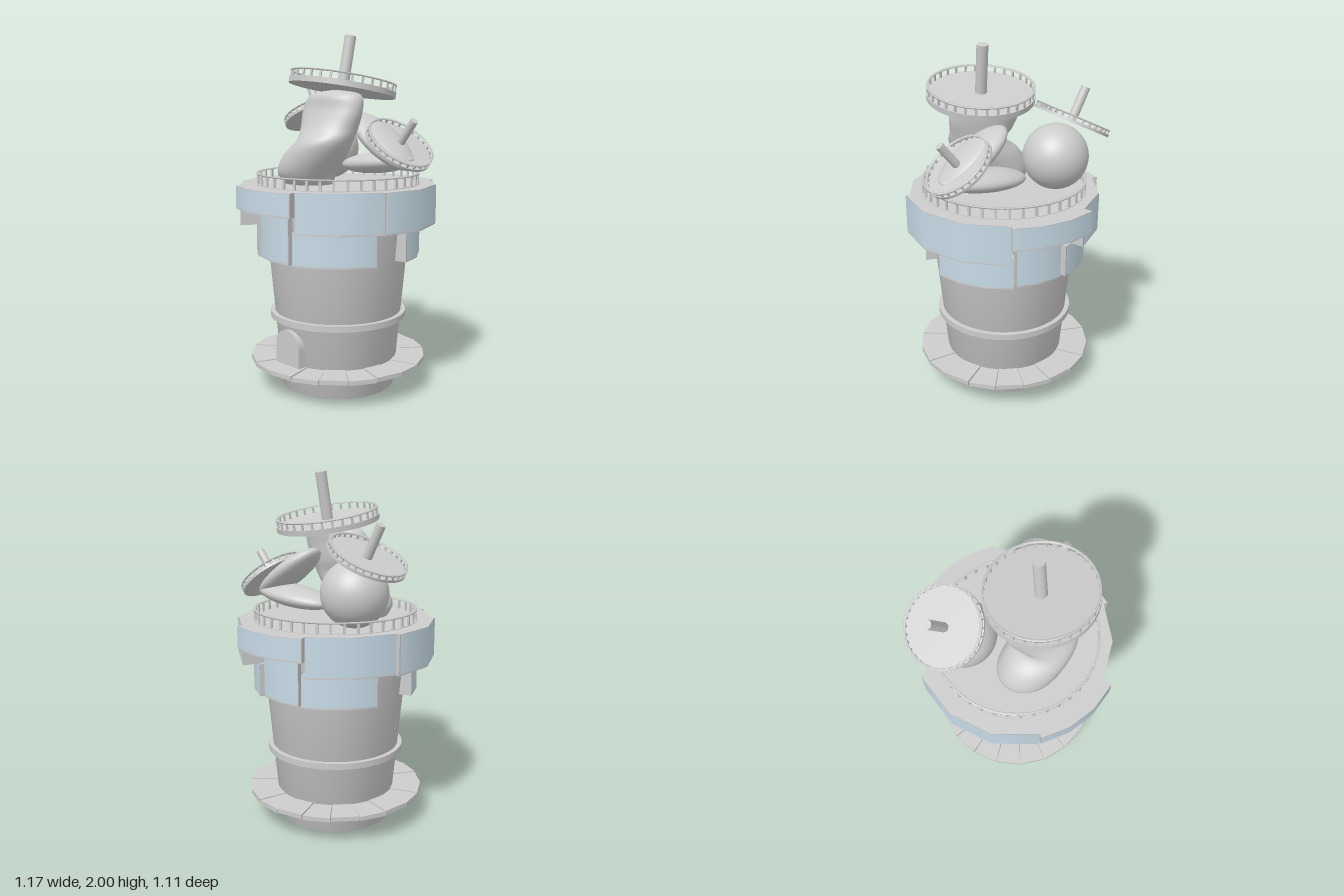
import * as THREE from 'three';

const D = Math.PI / 180;
const grey = new THREE.MeshStandardMaterial({ color: 0xcccccc });
grey.name = 'pale grey';
const glass = new THREE.MeshStandardMaterial({ color: 0xc8dce8 });
glass.name = 'pale blue glass';

function add(parent, name, geo, mat = grey) {
  const mesh = new THREE.Mesh(geo, mat);
  mesh.name = name;
  parent.add(mesh);
  return mesh;
}

// Solid block between two radii, swept from angle a to b (degrees, 0 = +z, 90 = +x)
function arcBlock(r0, r1, y0, y1, a, b, segs) {
  const shape = new THREE.Shape();
  const put = (r, i, first) => {
    const t = (a + ((b - a) * i) / segs) * D;
    shape[first ? 'moveTo' : 'lineTo'](r * Math.sin(t), -r * Math.cos(t));
  };
  for (let i = 0; i <= segs; i++) put(r1, i, i === 0);
  for (let i = segs; i >= 0; i--) put(r0, i, false);
  const geo = new THREE.ExtrudeGeometry(shape, { depth: y1 - y0, bevelEnabled: false });
  return geo.rotateX(-Math.PI / 2).translate(0, y0, 0);
}

// Balcony block with a thin glazed outer face
function balcony(parent, name, r, y0, y1, a, b, segs) {
  const g = new THREE.Group();
  g.name = name;
  add(g, 'balconyBlock', arcBlock(0.39, r, y0, y1, a, b, segs));
  const h = y1 - y0 - 0.012;
  const pane = new THREE.CylinderGeometry(r + 0.003, r + 0.003, h, segs, 1, true, (a + 0.5) * D, (b - a - 1) * D);
  add(g, 'balconyGlass', pane.translate(0, (y0 + y1) / 2 + 0.004, 0), glass);
  parent.add(g);
}

// Circular railing: posts and a thin flat top rail
function railing(parent, r, y0, h, count, post) {
  const g = new THREE.Group();
  g.name = 'railing';
  for (let i = 0; i < count; i++) {
    const t = (i / count) * Math.PI * 2;
    const m = add(g, 'railPost', new THREE.BoxGeometry(post, h, post * 0.7));
    m.position.set(r * Math.sin(t), y0 + h / 2, r * Math.cos(t));
    m.rotation.y = t;
  }
  const w = post * 0.5, top = y0 + h;
  const profile = [[r - w, top - 0.008], [r + w, top - 0.008], [r + w, top], [r - w, top], [r - w, top - 0.008]];
  add(g, 'topRail', new THREE.LatheGeometry(profile.map((p) => new THREE.Vector2(...p)), 48));
  parent.add(g);
}

// Tilted roof terrace with a railing and a mast
function terrace(parent, name, pos, normal, r, thick, railH, posts, mastR, mastL) {
  const g = new THREE.Group();
  g.name = name;
  g.position.set(...pos);
  g.quaternion.setFromUnitVectors(new THREE.Vector3(0, 1, 0), new THREE.Vector3(...normal).normalize());
  add(g, 'terraceDisc', new THREE.CylinderGeometry(r, r, thick, 48));
  railing(g, r - 0.008, thick / 2, railH, posts, 0.012);
  add(g, 'mast', new THREE.CylinderGeometry(mastR, mastR, mastL, 20).translate(0, mastL / 2, 0));
  parent.add(g);
}

// Smooth pod lofted through horizontal ellipses [y, x, z, rx, rz]
function loftPod(rings) {
  const n = 32, steps = 28, pos = [], idx = [];
  const at = (t, k) => {
    const f = t * (rings.length - 1), i = Math.min(Math.floor(f), rings.length - 2), u = f - i;
    const p = [i - 1, i, i + 1, i + 2].map((j) => rings[Math.max(0, Math.min(rings.length - 1, j))][k]);
    return p[1] + 0.5 * u * (p[2] - p[0] + u * (2 * p[0] - 5 * p[1] + 4 * p[2] - p[3] + u * (3 * (p[1] - p[2]) + p[3] - p[0])));
  };
  for (let s = 0; s <= steps; s++) {
    const [y, x, z, rx, rz] = [0, 1, 2, 3, 4].map((k) => at(s / steps, k));
    for (let i = 0; i < n; i++) {
      const t = (i / n) * Math.PI * 2;
      pos.push(x + rx * Math.sin(t), y, z + rz * Math.cos(t));
      if (s < steps) {
        const a = s * n + i, b = s * n + ((i + 1) % n);
        idx.push(a, b, b + n, a, b + n, a + n);
      }
    }
  }
  const geo = new THREE.BufferGeometry();
  geo.setAttribute('position', new THREE.Float32BufferAttribute(pos, 3));
  geo.setIndex(idx);
  geo.computeVertexNormals();
  return geo;
}

export function createModel() {
  const model = new THREE.Group();
  model.name = 'tower';

  // Tapered shaft with closed base
  const shaft = [[0, 0], [0.328, 0], [0.435, 1.17]].map((p) => new THREE.Vector2(...p));
  add(model, 'shaft', new THREE.LatheGeometry(shaft, 64));

  // Plain band round the shaft
  add(model, 'shaftBand', new THREE.CylinderGeometry(0.395, 0.395, 0.035, 64).translate(0, 0.422, 0));

  // Skirt of paving wedges
  const skirt = new THREE.Group();
  skirt.name = 'skirt';
  for (let i = 0; i < 20; i++) {
    const lift = (i % 2) * 0.004;
    add(skirt, 'skirtWedge', arcBlock(0.325, 0.51, 0.147 + lift, 0.172 + lift, i * 18 + 0.3, i * 18 + 17.7, 1));
  }
  model.add(skirt);

  // Arched doorway on the -x side
  const arch = new THREE.Shape();
  arch.moveTo(-0.1, 0.172);
  arch.lineTo(0.1, 0.172);
  arch.lineTo(0.1, 0.28);
  arch.absellipse(0, 0.28, 0.1, 0.095, 0, Math.PI, false);
  arch.closePath();
  const door = new THREE.ExtrudeGeometry(arch, { depth: 0.1, bevelEnabled: false, curveSegments: 12 });
  add(model, 'archedDoorway', door.rotateY(-Math.PI / 2).translate(-0.285, 0, 0));

  // Upper balconies: [radius, bottom, start, end, facets]
  [
    [0.586, 1.05, 63.3, 112, 3],
    [0.538, 0.955, 112, 165, 2],
    [0.568, 0.955, 165, 244, 3],
    [0.589, 1.05, 244, 293, 3],
    [0.538, 0.955, 293, 344, 2],
    [0.56, 0.955, 343.2, 423.4, 3],
  ].forEach(([r, y0, a, b, s]) => balcony(model, 'upperBalcony', r, y0, 1.18, a, b, s));

  // Lower balconies, with open bays at front and back
  [
    [0.47, 0.955, 10, 66, 3],
    [0.45, 1.05, 68, 103, 2],
    [0.465, 0.955, 106, 158, 3],
    [0.47, 0.955, 194, 244, 3],
    [0.455, 1.05, 247, 282, 2],
    [0.465, 0.955, 286, 344, 3],
  ].forEach(([r, y1, a, b, s]) => balcony(model, 'lowerBalcony', r, 0.77, y1, a, b, s));

  // Roof deck
  add(model, 'roofDeck', new THREE.CylinderGeometry(0.47, 0.47, 0.02, 64).translate(0, 1.173, 0));
  railing(model, 0.46, 1.183, 0.06, 40, 0.014);

  // Tall bent pod
  add(model, 'tallPod', loftPod([
    [1.18, -0.16, -0.07, 0.13, 0.15],
    [1.25, -0.18, -0.06, 0.16, 0.18],
    [1.35, -0.18, 0.01, 0.165, 0.19],
    [1.43, -0.17, 0.08, 0.15, 0.165],
    [1.5, -0.13, 0.07, 0.13, 0.19],
    [1.6, -0.1, 0.065, 0.11, 0.215],
    [1.68, -0.09, 0.08, 0.1, 0.17],
    [1.705, -0.09, 0.08, 0.01, 0.01],
  ]));

  // Round pod
  add(model, 'roundPod', new THREE.SphereGeometry(0.186, 40, 28).translate(0.145, 1.363, -0.25));

  // Flattened pods at the front
  const flatPod = (name, size, pos, tilt) => {
    const geo = new THREE.SphereGeometry(1, 36, 24).scale(...size).rotateX(tilt).translate(...pos);
    add(model, name, geo);
  };
  flatPod('leaningPod', [0.14, 0.065, 0.25], [0.1, 1.425, 0.26], 0.62);
  flatPod('lowPod', [0.13, 0.06, 0.26], [0.12, 1.3, 0.2], -0.1);

  // Terraces crowning the pods
  terrace(model, 'mainTerrace', [-0.065, 1.715, 0.108], [0.17, 1, 0.045], 0.297, 0.03, 0.042, 32, 0.032, 0.285);
  terrace(model, 'backTerrace', [0.16, 1.558, -0.34], [0, 0.9, -0.45], 0.222, 0.014, 0.026, 32, 0.026, 0.2);
  terrace(model, 'frontTerrace', [0.132, 1.4, 0.35], [0, 0.78, 0.63], 0.202, 0.014, 0.026, 28, 0.023, 0.18);

  return model;
}
